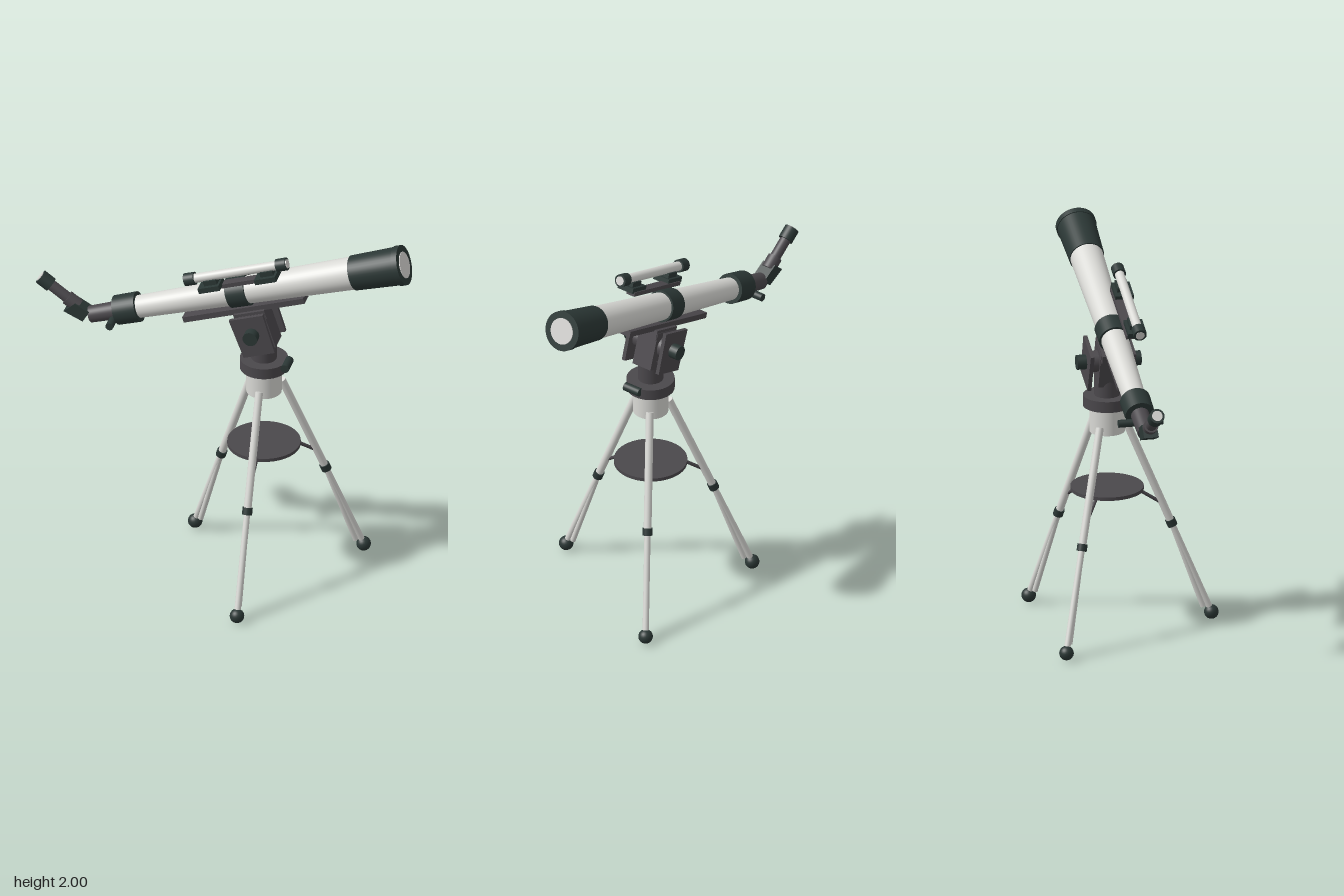
import * as THREE from 'three';

const mat = (name, color) => Object.assign(new THREE.MeshStandardMaterial({ color }), { name });

export function createModel() {
  const white = mat('ivory enamel', 0xd9d9d5);
  const green = mat('dark green rubber', 0x2b3735);
  const gray = mat('charcoal metal', 0x4b484c);
  const glass = mat('pale glass', 0xd6d5d2);

  const model = new THREE.Group();
  model.name = 'telescope';
  const V = (x, y, z) => new THREE.Vector3(x, y, z);

  function add(parent, name, geometry, material) {
    const mesh = new THREE.Mesh(geometry, material);
    mesh.name = name;
    parent.add(mesh);
    return mesh;
  }
  // Round bar from a to b, with a radius at each end
  function rod(parent, name, a, b, ra, rb, material, sides = 32) {
    const dir = b.clone().sub(a);
    const mesh = add(parent, name, new THREE.CylinderGeometry(rb, ra, dir.length(), sides), material);
    mesh.position.copy(a).add(b).multiplyScalar(0.5);
    mesh.quaternion.setFromUnitVectors(V(0, 1, 0), dir.normalize());
    return mesh;
  }
  function box(parent, name, size, pos, material) {
    const mesh = add(parent, name, new THREE.BoxGeometry(...size), material);
    mesh.position.set(...pos);
    return mesh;
  }

  // Tripod, centred on its own hub
  const tripod = new THREE.Group();
  tripod.name = 'tripod';
  tripod.position.set(0.21, 0, -0.115);
  model.add(tripod);

  for (const [fx, fz] of [[0, 0.54], [-0.44, -0.308], [0.44, -0.308]]) {
    const leg = new THREE.Group();
    leg.name = 'leg';
    tripod.add(leg);
    // Point on the leg plane: radial offset r (foot at 0.54), height y
    const at = (r, y) => V(fx * r / 0.54, y, fz * r / 0.54);
    const onLeg = (y) => at(0.1 + 0.44 * (1.09 - y) / 1.05, y);
    rod(leg, 'upperLeg', onLeg(1.1), onLeg(0.535), 0.02, 0.02, white, 20);
    rod(leg, 'lowerLeg', onLeg(0.535), onLeg(0.04), 0.016, 0.016, white, 20);
    rod(leg, 'innerStrut', onLeg(0.535), at(0.497, 0.07), 0.014, 0.014, white, 16);
    rod(leg, 'legCollar', onLeg(0.552), onLeg(0.518), 0.026, 0.026, green, 20);
    add(leg, 'foot', new THREE.SphereGeometry(0.037, 24, 16), green).position.copy(onLeg(0.04)).setY(0.037);
    rod(leg, 'trayBrace', at(0.13, 0.745), onLeg(0.64), 0.009, 0.009, gray, 10);
  }
  rod(tripod, 'accessoryTray', V(0, 0.742, 0), V(0, 0.76, 0), 0.186, 0.186, gray, 48);
  rod(tripod, 'hub', V(0, 1.055, 0), V(0, 1.2, 0), 0.09, 0.09, white, 40);
  rod(tripod, 'turntable', V(0, 1.192, 0), V(0, 1.25, 0), 0.122, 0.122, gray, 48);
  rod(tripod, 'turntableKnob', V(0.125, 1.235, -0.03), V(0.125, 1.235, 0.065), 0.022, 0.022, green, 20);
  rod(tripod, 'neck', V(0, 1.25, 0), V(0, 1.38, 0), 0.065, 0.065, gray, 32);

  // Optical assembly: local x runs along the tube toward the objective
  const optics = new THREE.Group();
  optics.name = 'opticalAssembly';
  optics.position.set(0.082, 1.622, -0.115);
  optics.rotation.z = 0.3185;
  model.add(optics);
  const along = (name, a, b, ra, rb, material, y = 0, z = 0) =>
    rod(optics, name, V(a, y, z), V(b, y, z), ra, rb, material, 40);

  along('mainTube', -0.56, 0.64, 0.058, 0.085, white);
  along('dewShield', 0.63, 0.88, 0.09, 0.099, green);
  along('dewShieldLip', 0.875, 0.906, 0.103, 0.103, green);
  along('objectiveLens', 0.9, 0.91, 0.068, 0.068, glass);
  along('tubeBand', -0.052, 0.052, 0.08, 0.082, green);
  along('focuserCollar', -0.674, -0.552, 0.076, 0.078, green);
  along('drawTube', -0.82, -0.67, 0.043, 0.047, gray);
  rod(optics, 'focuserKnobs', V(-0.695, -0.03, -0.115), V(-0.695, -0.03, 0.115), 0.02, 0.02, green, 20);

  // Mount head under the tube
  box(optics, 'dovetailRail', [0.665, 0.03, 0.075], [0, -0.096, 0], gray);
  box(optics, 'saddle', [0.17, 0.05, 0.11], [0.03, -0.13, 0], gray);
  box(optics, 'mountBlock', [0.14, 0.2, 0.115], [0.04, -0.22, 0], gray);
  rod(optics, 'tiltAxle', V(0.036, -0.199, -0.11), V(0.036, -0.199, 0.11), 0.055, 0.055, gray);
  const cheek = new THREE.Shape([[-0.06, -0.1], [-0.05, -0.32], [0.12, -0.32], [0.125, -0.1]]
    .map(([x, y]) => new THREE.Vector2(x, y)));
  for (const s of [-1, 1]) {
    const plate = add(optics, 'sidePlate',
      new THREE.ExtrudeGeometry(cheek, { depth: 0.02, bevelEnabled: false }), gray);
    plate.position.z = s * 0.108 - 0.01;
    rod(optics, 'tiltKnob', V(0.036, -0.199, s * 0.115), V(0.036, -0.199, s * 0.165), 0.038, 0.038, green, 24);
  }

  // Finder scope, up and to the front of the main tube
  const fy = 0.153, fz = 0.085;
  along('finderTube', -0.19, 0.3, 0.024, 0.024, white, fy, fz);
  along('finderRearCap', -0.225, -0.17, 0.033, 0.033, green, fy, fz);
  along('finderFrontCap', 0.28, 0.335, 0.033, 0.033, green, fy, fz);
  for (const [x, end] of [[-0.225, -1], [0.335, 1]])
    along('finderLens', x - 0.003, x + end * 0.003 + 0.001, 0.023, 0.023, glass, fy, fz);
  box(optics, 'finderRail', [0.4, 0.022, 0.05], [0.055, 0.082, 0.06], gray);
  for (const x of [-0.1, 0.21]) {
    box(optics, 'finderFoot', [0.115, 0.028, 0.095], [x, 0.1, 0.088], green);
    box(optics, 'finderRing', [0.07, 0.035, 0.06], [x + 0.01, 0.122, fz], green);
  }

  // Star diagonal and eyepiece
  const diagonal = new THREE.Group();
  diagonal.name = 'diagonalAndEyepiece';
  diagonal.position.z = -0.115;
  model.add(diagonal);
  const housing = new THREE.Shape([[-0.828, 1.384], [-0.728, 1.338], [-0.696, 1.394], [-0.77, 1.436]]
    .map(([x, y]) => new THREE.Vector2(x, y)));
  add(diagonal, 'mirrorHousing',
    new THREE.ExtrudeGeometry(housing, { depth: 0.076, bevelEnabled: false }), green).position.z = -0.038;
  const base = V(-0.745, 1.393, 0), dir = V(-0.81, 0.586, 0).normalize();
  const up = (d) => base.clone().addScaledVector(dir, d);
  rod(diagonal, 'eyepieceHolder', up(0.02), up(0.09), 0.037, 0.037, gray);
  rod(diagonal, 'eyepieceBarrel', up(0.05), up(0.2), 0.028, 0.028, gray);
  rod(diagonal, 'eyepieceCup', up(0.195), up(0.263), 0.038, 0.038, green);
  rod(diagonal, 'eyeLens', up(0.26), up(0.267), 0.027, 0.027, glass);

  return model;
}
